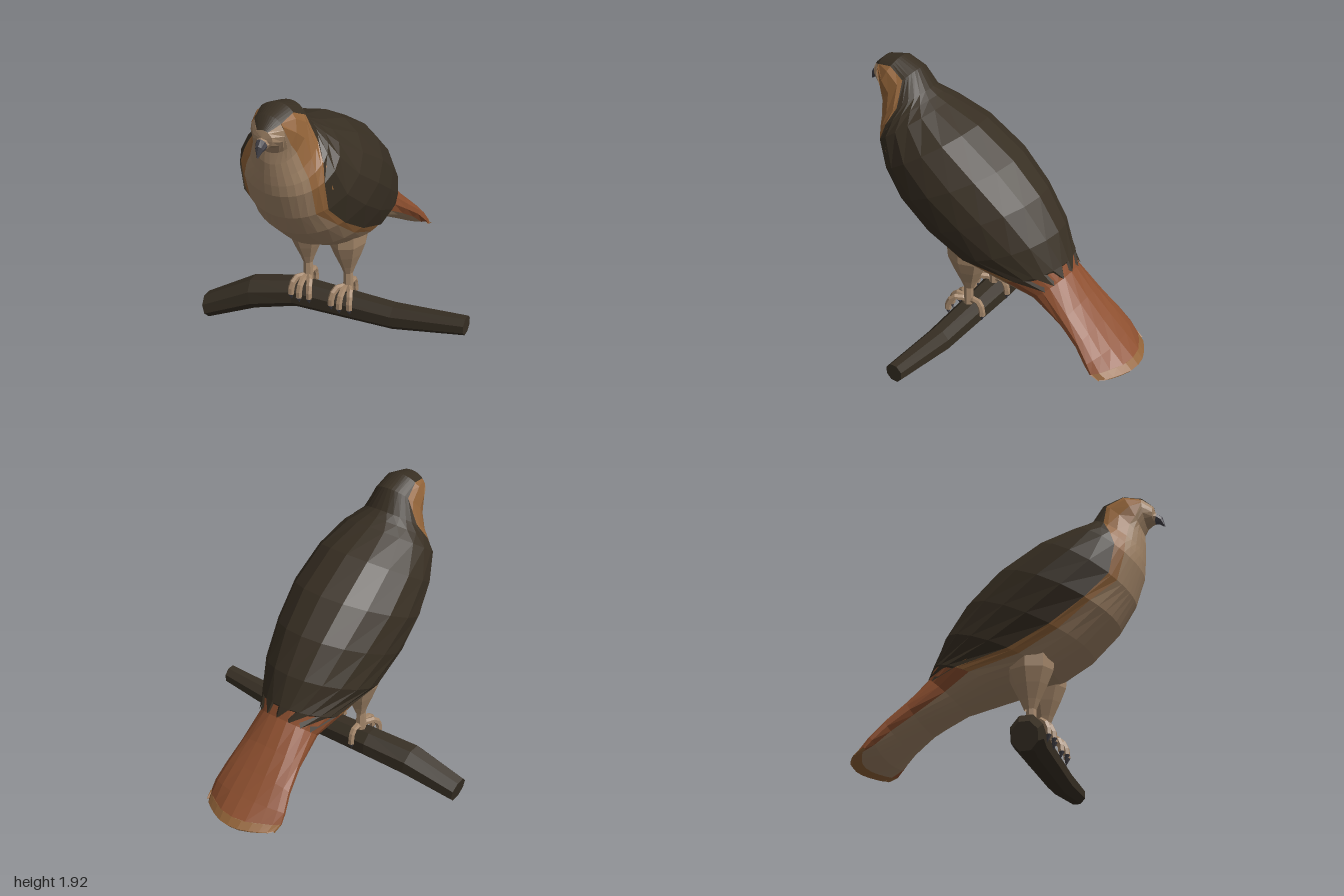
import * as THREE from 'three';
import { mergeGeometries } from 'three/addons/utils/BufferGeometryUtils.js';

const mat = (name, color) => {
  const m = new THREE.MeshStandardMaterial({ color, flatShading: true, side: THREE.DoubleSide });
  m.name = name;
  return m;
};

// Flat-shaded skin over a list of cross-section rows
function skin(rows) {
  const pos = [];
  for (let i = 0; i < rows.length - 1; i++) {
    for (let j = 0; j < rows[i].length - 1; j++) {
      const a = rows[i][j], b = rows[i][j + 1], c = rows[i + 1][j], d = rows[i + 1][j + 1];
      for (const p of [a, b, d, a, d, c]) pos.push(p.x, p.y, p.z);
    }
  }
  const g = new THREE.BufferGeometry();
  g.setAttribute('position', new THREE.Float32BufferAttribute(pos, 3));
  g.computeVertexNormals();
  return g;
}

// Stations: top z, y, bottom z, y, half width, dark limit, side colour limit
// (limits run from 0 at the back line to 1 at the belly line)
const BODY = [
  [0.945, 1.79, 0.945, 1.78, 0.00, 0.05, 0.1],
  [0.935, 1.84, 0.93, 1.73, 0.06, 0.08, 0.12],
  [0.87, 1.90, 0.885, 1.71, 0.105, 0.18, 0.35],
  [0.75, 1.925, 0.865, 1.67, 0.14, 0.14, 0.76],
  [0.62, 1.88, 0.87, 1.60, 0.155, 0.17, 0.74],
  [0.55, 1.76, 0.865, 1.52, 0.195, 0.34, 0.76],
  [0.50, 1.73, 0.86, 1.46, 0.24, 0.56, 0.79],
  [0.43, 1.70, 0.85, 1.39, 0.29, 0.72, 0.84],
  [0.20, 1.62, 0.79, 1.22, 0.35, 0.83, 0.90],
  [-0.06, 1.46, 0.69, 1.06, 0.38, 0.81, 0.85],
  [-0.25, 1.28, 0.52, 0.89, 0.365, 0.76, 0.82],
  [-0.39, 1.08, 0.30, 0.76, 0.33, 0.68, 0.77],
  [-0.47, 0.90, 0.00, 0.69, 0.255, 0.45, 0.62],
];
const TAIL = [
  [-0.50, 0.83, -0.28, 0.62, 0.20, 0.32, 0.68],
  [-0.62, 0.69, -0.52, 0.52, 0.215, 0, 0.75],
  [-0.74, 0.57, -0.66, 0.43, 0.24, 0, 0.75],
  [-0.86, 0.46, -0.78, 0.355, 0.265, 0, 0.75],
  [-0.96, 0.375, -0.92, 0.33, 0.27, 0, 0.75],
  [-1.00, 0.335, -0.985, 0.315, 0.26, 0, 0.75],
  [-0.99, 0.325, -0.99, 0.325, 0.25, 0, 0.75],
];
const ALL = [...BODY, ...TAIL];
const LAST = BODY.length - 1;
const BOW = { [LAST + 4]: 0.04, [LAST + 5]: 0.12, [LAST + 6]: 0.125, [LAST + 7]: 0.125 };

const angleOf = t => Math.acos(1 - 2 * Math.min(1, Math.max(0, t)));
function sectionPoint(s, a, scale = 1, bow = 0) {
  const k = (1 - scale * Math.cos(a)) / 2, sn = Math.sin(a);
  const scallop = bow > 0.1 ? 0.012 * Math.cos(a * 10) * sn * sn : 0;
  return new THREE.Vector3(s[4] * scale * sn,
    s[1] + (s[3] - s[1]) * k, s[0] + (s[2] - s[0]) * k + bow * sn * sn + scallop);
}

// Strip of the body between two limits, on both sides
function strip(from, to, lo, hi, n, scale) {
  const parts = [1, -1].map(side => {
    const rows = [];
    for (let i = from; i <= to; i++) {
      const a0 = angleOf(lo(ALL[i], i)), a1 = angleOf(hi(ALL[i], i)), row = [];
      for (let j = 0; j <= n; j++) {
        const a = side > 0 ? a0 + (a1 - a0) * j / n : -a1 + (a1 - a0) * j / n;
        row.push(sectionPoint(ALL[i], a, scale, BOW[i]));
      }
      rows.push(row);
    }
    return skin(rows);
  });
  return mergeGeometries(parts);
}

export function createModel() {
  const dark = mat('darkFeather', 0x382f23), brown = mat('brownFeather', 0x936439);
  const cream = mat('breastFeather', 0xa18467), rust = mat('rustFeather', 0x8d4f2f);
  const skinTone = mat('footSkin', 0xa3866a), horn = mat('horn', 0x45434a);
  const bark = mat('bark', 0x362e23);

  const model = new THREE.Group();
  const bird = new THREE.Group();
  bird.name = 'bird';
  bird.position.x = -0.06;
  model.add(bird);
  const add = (parent, name, geo, m) => {
    const mesh = new THREE.Mesh(geo, m);
    mesh.name = name;
    parent.add(mesh);
    return mesh;
  };

  // Body colours follow the same sections
  add(bird, 'breastAndBelly', strip(0, LAST + 4, s => s[6], () => 1, 5, 1), cream);
  add(bird, 'cheekAndFlank', strip(2, LAST, s => Math.max(0, s[5] - 0.08), s => s[6], 3, 1), brown);
  add(bird, 'face', strip(0, 2, () => 0, s => s[6], 3, 1), cream);
  add(bird, 'tail', strip(LAST, LAST + 5, () => 0, s => s[6], 6, 1), rust);
  add(bird, 'tailUnderside', strip(LAST + 4, LAST + 5, s => s[6], () => 1, 5, 1), cream);
  add(bird, 'tailTip', strip(LAST + 5, LAST + 7, () => 0, () => 1, 12, 1), brown);

  // Crown, back and folded wings, ending in pointed feather tips
  const mantle = [];
  for (let i = 1; i <= LAST + 1; i++) {
    const end = angleOf(ALL[i][5]), row = [];
    for (let j = 0; j <= 12; j++) {
      const p = sectionPoint(ALL[i], end * (j / 6 - 1), i < 5 ? 1.015 : 1.03);
      if (i === LAST + 1) {
        p.z += j % 2 ? 0.04 : -0.005;
        p.y += j % 2 ? 0.04 : 0;
      }
      row.push(p);
    }
    mantle.push(row);
  }
  add(bird, 'crownBackAndWings', skin(mantle), dark);

  // Hooked beak
  const beak = [
    [0.925, 1.80, 0.92, 1.725, 0.045], [0.955, 1.795, 0.94, 1.725, 0.036],
    [0.985, 1.765, 0.965, 1.72, 0.024], [1.0, 1.70, 0.99, 1.70, 0.004],
  ].map(s => Array.from({ length: 9 }, (_, j) => sectionPoint(s, j * Math.PI / 4)));
  add(bird, 'cere', skin(beak.slice(0, 2)), skinTone);
  add(bird, 'beak', skin(beak.slice(1)), horn);

  // Legs and feet
  for (const side of [1, -1]) {
    const leg = new THREE.Group();
    leg.name = side > 0 ? 'leftLeg' : 'rightLeg';
    leg.position.set(side * 0.14, 0, 0.17);
    bird.add(leg);
    const profile = [[0.03, 0.52], [0.05, 0.58], [0.085, 0.67], [0.115, 0.76], [0.12, 0.86]];
    const thigh = add(leg, 'thigh',
      new THREE.LatheGeometry(profile.map(p => new THREE.Vector2(...p)), 8), cream);
    thigh.scale.z = 1.25;
    add(leg, 'shank', new THREE.CylinderGeometry(0.029, 0.034, 0.16, 7).translate(0, 0.47, 0.005), skinTone);

    // Three toes forward and one back, gripping the branch
    for (const [dx, dz] of [[-0.06, 1], [0, 1.12], [0.06, 1], [0, -0.8]]) {
      const path = new THREE.CatmullRomCurve3([[0, 0.41, 0.01], [0.7, 0.43, 0.07], [1, 0.39, 0.115], [1.05, 0.325, 0.125]]
        .map(([u, y, z]) => new THREE.Vector3(u * dx, y, z * dz)));
      add(leg, 'toe', new THREE.TubeGeometry(path, 5, 0.021, 6), skinTone);
      const claw = add(leg, 'claw', new THREE.ConeGeometry(0.019, 0.05, 6), horn);
      claw.position.set(dx * 1.05, 0.305, 0.122 * dz);
      claw.rotation.x = Math.PI + 0.2 * dz;
    }
  }

  // Bent branch: x, y, z, radius, lean of the cut
  const knots = [
    [-0.855, 0.09, 0.33, 0, -0.17], [-0.855, 0.09, 0.33, 0.08, -0.17], [-0.545, 0.235, 0.25, 0.104, -0.15],
    [-0.27, 0.287, 0.195, 0.098, -0.04], [0.4, 0.288, 0.178, 0.083, 0],
    [0.868, 0.351, 0.163, 0.06, 0], [0.868, 0.351, 0.163, 0, 0],
  ];
  const rings = knots.map(([x, y, z, r, lean]) => Array.from({ length: 9 }, (_, j) => {
    const a = (j + 0.5) * Math.PI / 4, h = r * Math.cos(a) * 1.06;
    return new THREE.Vector3(x + lean * h, y + h, z + r * Math.sin(a));
  }));
  add(model, 'branch', skin(rings), bark);

  return model;
}
